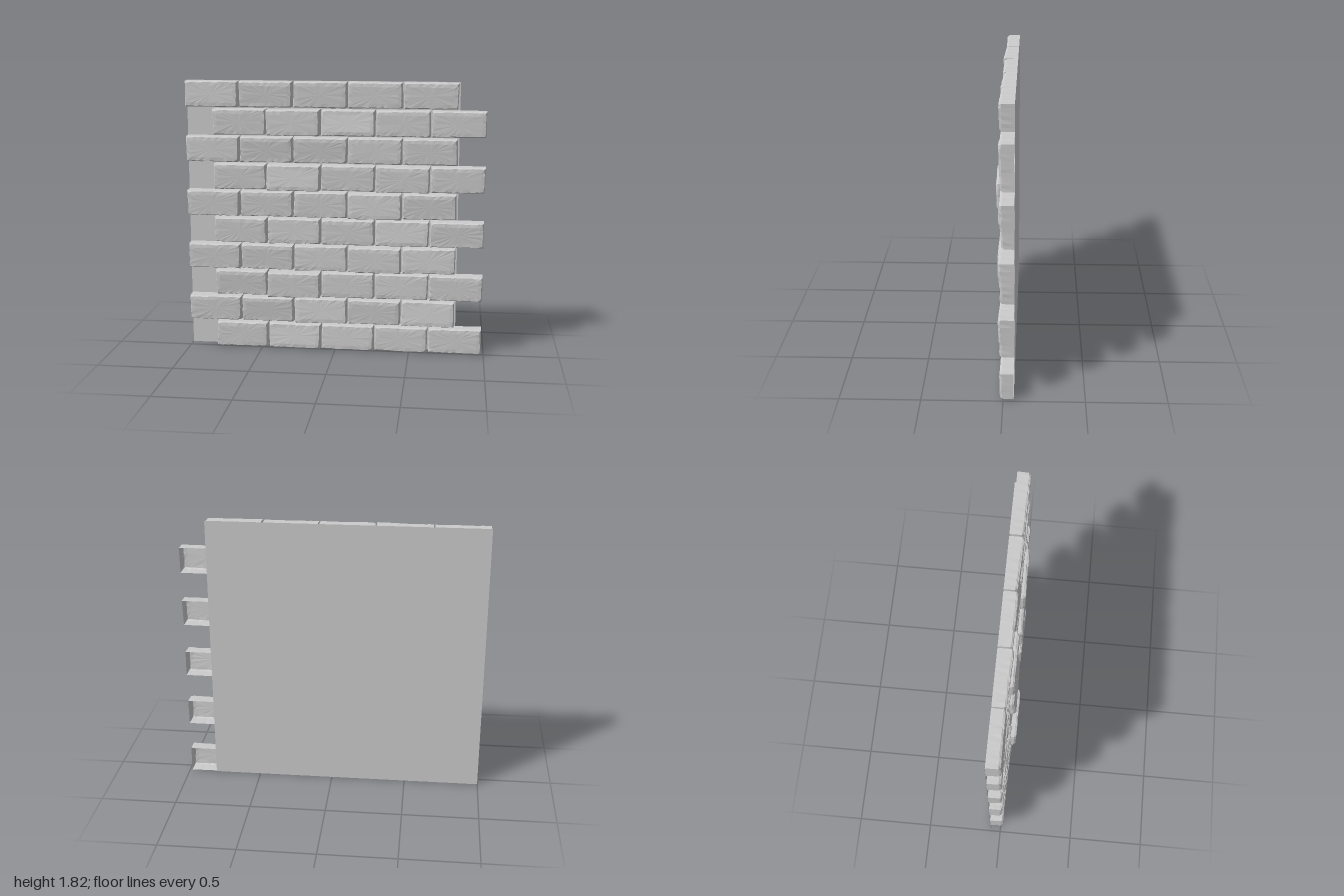
import * as THREE from 'three';

const ROWS = 10, COLS = 5;
const PITCH_X = 0.361, PITCH_Y = 0.182;
const BRICK_W = 0.352, BRICK_H = 0.17;
const BACK_Z = -0.065;

// Bricks that stand proud of the wall: 'row,column' -> front z
const PROUD = {
  '2,1': 0.06, '3,3': 0.048, '5,3': 0.05, '6,1': 0.052, '6,3': 0.052, '8,1': 0.05,
};

function seeded(seed) {
  let s = seed;
  return () => {
    s = (s * 16807) % 2147483647;
    return s / 2147483647;
  };
}

// Unit outline, counter-clockwise from the lower left corner
function outline(nx, ny) {
  const pts = [];
  for (let i = 0; i < nx; i++) pts.push([i / nx, 0]);
  for (let i = 0; i < ny; i++) pts.push([1, i / ny]);
  for (let i = 0; i < nx; i++) pts.push([1 - i / nx, 1]);
  for (let i = 0; i < ny; i++) pts.push([0, 1 - i / ny]);
  return pts;
}

// Open-backed stone shell: straight back rim, worn front rim, chipped bevel and tilted face
function brickGeometry(rand, frontZ) {
  const jitter = (a) => (rand() - 0.5) * 2 * a;
  const lean = [jitter(0.006), jitter(0.006)];
  const drop = [jitter(0.003), jitter(0.003)];
  const tiltX = jitter(0.005), tiltY = jitter(0.007);
  const pts = outline(14, 7);
  const n = pts.length;
  const positions = [], index = [];

  const place = (u, v, inset, z) => {
    const side = u < 0.5 ? lean[0] : lean[1];
    const level = v < 0.5 ? drop[0] : drop[1];
    const x = (u - 0.5) * (BRICK_W - 2 * inset) + side * (v - 0.5);
    const y = (v - 0.5) * (BRICK_H - 2 * inset) + level * (u - 0.5);
    positions.push(x, y, z);
  };
  const face = (u, v) => frontZ + tiltX * (u - 0.5) * 2 + tiltY * (v - 0.5) * 2;

  for (const [u, v] of pts) place(u, v, 0, BACK_Z);
  for (const [u, v] of pts) place(u, v, rand() * 0.003, face(u, v) - 0.01 - rand() * 0.008);
  for (const [u, v] of pts) {
    const corner = (u === 0 || u === 1) && (v === 0 || v === 1) ? 0.004 : 0;
    place(u, v, 0.005 + corner + rand() * 0.005, face(u, v) - rand() * 0.003);
  }
  for (const [u, v] of pts) place(u, v, 0.03, face(u, v) + jitter(0.0008));
  positions.push(0, 0, face(0.5, 0.5));

  for (let ring = 0; ring < 3; ring++) {
    for (let i = 0; i < n; i++) {
      const a = ring * n + i, b = ring * n + (i + 1) % n;
      index.push(a, b, b + n, a, b + n, a + n);
    }
  }
  for (let i = 0; i < n; i++) index.push(3 * n + i, 3 * n + (i + 1) % n, 4 * n);

  const geometry = new THREE.BufferGeometry();
  geometry.setAttribute('position', new THREE.Float32BufferAttribute(positions, 3));
  geometry.setIndex(index);
  geometry.computeVertexNormals();
  return geometry;
}

export function createModel() {
  const wall = new THREE.Group();
  wall.name = 'brickWall';
  const stone = new THREE.MeshStandardMaterial({
    color: 0xcccccc, flatShading: true, side: THREE.DoubleSide,
  });
  const rand = seeded(4711);

  // Flat sheet behind the bricks
  const backing = new THREE.Mesh(new THREE.PlaneGeometry(1.81, 1.815), stone);
  backing.name = 'backSheet';
  backing.position.set(-0.095, 0.9075, BACK_Z);
  wall.add(backing);

  // Running bond: every other course is shifted by half a brick
  for (let r = 0; r < ROWS; r++) {
    const course = new THREE.Group();
    course.name = `course${r + 1}`;
    const startX = r % 2 === 0 ? -0.813 : -0.996;
    for (let c = 0; c < COLS; c++) {
      const frontZ = PROUD[`${r},${c}`] ?? 0.022 + (rand() - 0.5) * 0.008;
      const brick = new THREE.Mesh(brickGeometry(rand, frontZ), stone);
      brick.name = `brick${c + 1}`;
      brick.position.set(startX + c * PITCH_X + BRICK_W / 2, 0.005 + r * PITCH_Y + BRICK_H / 2, 0);
      course.add(brick);
    }
    wall.add(course);
  }
  return wall;
}
